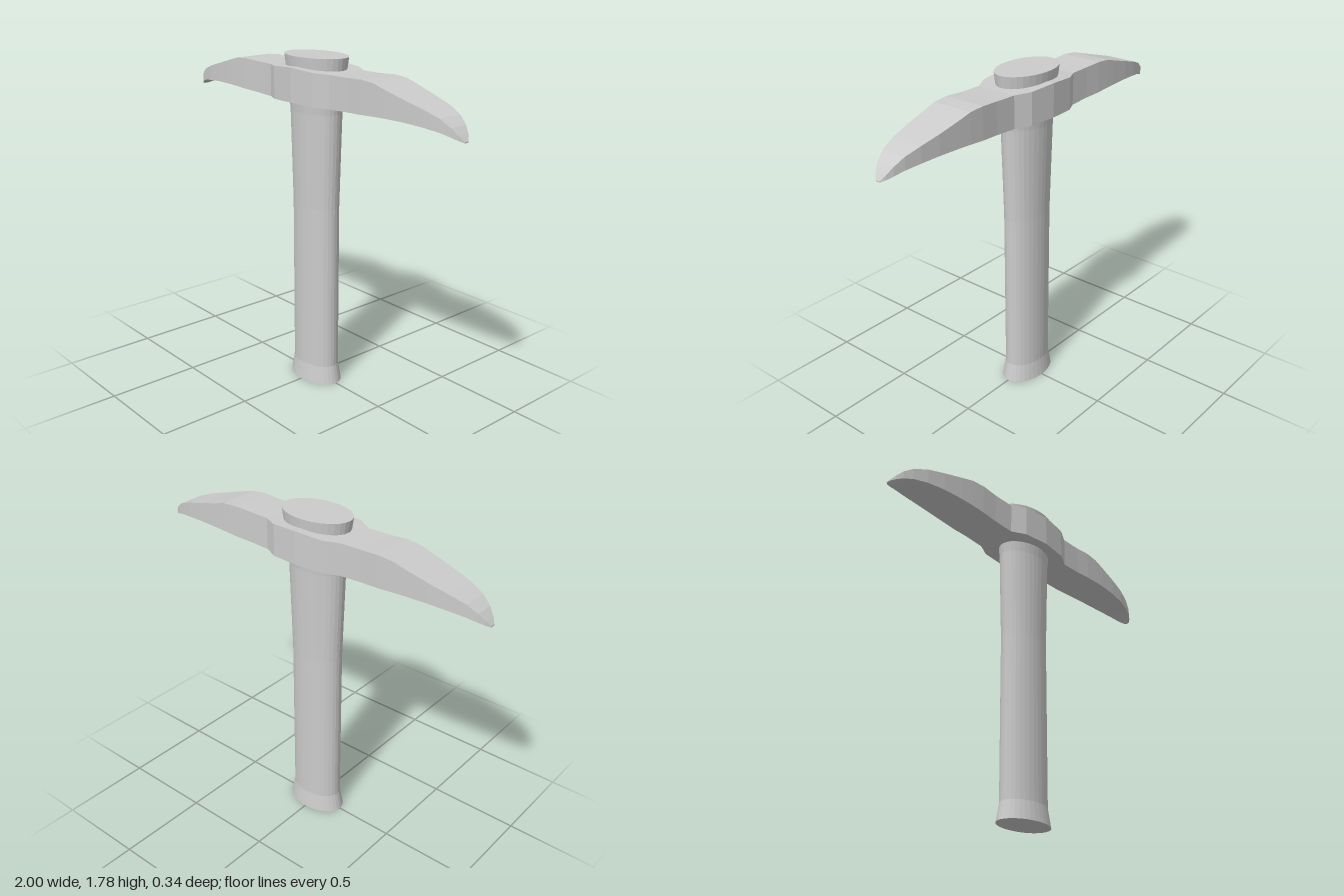
import * as THREE from 'three';

const material = new THREE.MeshStandardMaterial({ color: 0xcccccc, flatShading: true });

// Half of the head, from the middle outwards: [x, top y, bottom y, half depth]
const HALF_HEAD = [
  [0, 1.735, 1.56, 0.168],
  [0.15, 1.725, 1.556, 0.153],
  [0.23, 1.72, 1.553, 0.112],
  [0.35, 1.722, 1.558, 0.11],
  [0.45, 1.727, 1.562, 0.114],
  [0.53, 1.72, 1.566, 0.112],
  [0.6, 1.7, 1.568, 0.109],
  [0.72, 1.667, 1.567, 0.1],
  [0.82, 1.64, 1.56, 0.087],
  [0.9, 1.61, 1.548, 0.068],
  [0.95, 1.575, 1.533, 0.05],
  [0.98, 1.542, 1.52, 0.032],
  [1.0, 1.516, 1.51, 0.012],
];

// Lofts rectangular sections along x and closes both tips
function loftHead(sections) {
  const positions = [];
  const index = [];
  for (const [x, top, bottom, d] of sections) {
    positions.push(x, top, d, x, top, -d, x, bottom, -d, x, bottom, d);
  }
  const last = sections.length - 1;
  for (let i = 0; i < last; i++) {
    for (let j = 0; j < 4; j++) {
      const k = (j + 1) % 4;
      const a = i * 4 + j, b = a + 4, c = (i + 1) * 4 + k, e = i * 4 + k;
      index.push(a, b, c, a, c, e);
    }
  }
  const n = last * 4;
  index.push(0, 1, 2, 0, 2, 3, n, n + 2, n + 1, n, n + 3, n + 2);
  const geometry = new THREE.BufferGeometry();
  geometry.setAttribute('position', new THREE.Float32BufferAttribute(positions, 3));
  geometry.setIndex(index);
  const flat = geometry.toNonIndexed();
  flat.computeVertexNormals();
  return flat;
}

export function createModel() {
  const group = new THREE.Group();

  // Oval handle: flared foot, straight grip, wider eye end through the head
  const profile = [
    [0, 0], [0.168, 0], [0.148, 0.1], [0.148, 1.0],
    [0.163, 1.5], [0.18, 1.65], [0.2, 1.785], [0, 1.785],
  ].map(([r, y]) => new THREE.Vector2(r, y));
  const handleGeometry = new THREE.LatheGeometry(profile, 32);
  handleGeometry.scale(1, 1, 0.65);
  const handle = new THREE.Mesh(handleGeometry, material);
  handle.name = 'handle';
  group.add(handle);

  // Double-pointed head, mirrored about the handle
  const leftSide = HALF_HEAD.slice(1);
  const rightSide = leftSide.map(([x, ...rest]) => [-x, ...rest]).reverse();
  const head = new THREE.Mesh(loftHead([...rightSide, HALF_HEAD[0], ...leftSide]), material);
  head.name = 'pickHead';
  group.add(head);

  return group;
}
